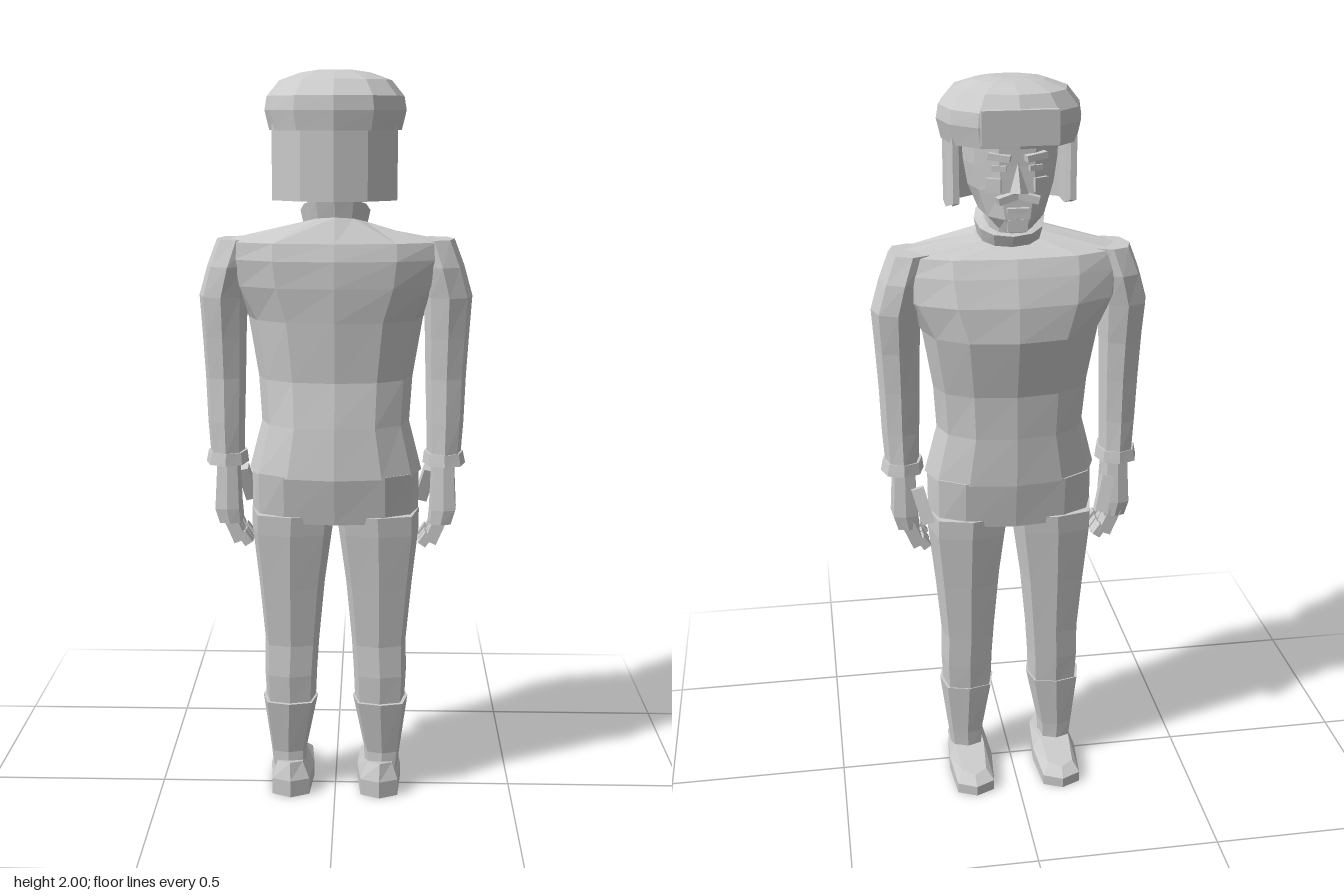
import * as THREE from 'three';

const cloth = new THREE.MeshStandardMaterial({ color: 0xcccccc, flatShading: true });
cloth.name = 'light grey';

// One horizontal cross-section: a rounded polygon, e below 1 is boxier
function ring(y, cx, hw, zf, zb, { n = 8, e = 0.7, tilt = 0 } = {}) {
  const bend = v => Math.sign(v) * Math.pow(Math.abs(v) < 1e-6 ? 0 : Math.abs(v), e);
  return Array.from({ length: n }, (_, i) => {
    const a = (i / n) * Math.PI * 2, u = bend(Math.cos(a)), w = bend(Math.sin(a));
    return [cx + u * hw, y + tilt * w, (zf + zb) / 2 + (w * (zb - zf)) / 2];
  });
}

// Closed faceted skin over cross-sections listed from bottom to top
function loft(rings) {
  const pos = [], n = rings[0].length;
  const mid = r => [0, 1, 2].map(k => r.reduce((s, p) => s + p[k], 0) / n);
  const lo = rings[0], hi = rings[rings.length - 1], cLo = mid(lo), cHi = mid(hi);
  for (let j = 0; j < n; j++) {
    const k = (j + 1) % n;
    for (let i = 0; i < rings.length - 1; i++) {
      const a = rings[i][j], b = rings[i][k], c = rings[i + 1][k], d = rings[i + 1][j];
      pos.push(...a, ...d, ...b, ...b, ...d, ...c);
    }
    pos.push(...cLo, ...lo[j], ...lo[k], ...cHi, ...hi[k], ...hi[j]);
  }
  const g = new THREE.BufferGeometry();
  g.setAttribute('position', new THREE.Float32BufferAttribute(pos, 3));
  g.computeVertexNormals();
  return g;
}

function add(parent, name, geometry, p = [0, 0, 0], r = [0, 0, 0]) {
  const m = new THREE.Mesh(geometry, cloth);
  m.name = name;
  m.position.set(...p);
  m.rotation.set(...r);
  parent.add(m);
  return m;
}
const box = (w, h, d) => new THREE.BoxGeometry(w, h, d);

function addHead(root) {
  const head = new THREE.Group();
  head.name = 'head';
  root.add(head);
  const face = (y, hw, zf, zb, tilt = 0) => ring(y, 0, hw, zf, zb, { n: 10, e: 0.85, tilt });
  add(head, 'face', loft([
    face(1.655, 0.05, -0.125, 0.05, 0.02), face(1.68, 0.085, -0.13, 0.08, 0.01),
    face(1.74, 0.11, -0.128, 0.1), face(1.8, 0.12, -0.125, 0.11), face(1.88, 0.125, -0.125, 0.12),
  ]));
  // Facial features
  add(head, 'nose', new THREE.ConeGeometry(0.024, 0.075, 4), [0, 1.775, -0.136], [0.25, 0, 0]);
  add(head, 'mouth', box(0.055, 0.012, 0.02), [0, 1.695, -0.128]);
  add(head, 'chin', box(0.05, 0.03, 0.03), [0, 1.655, -0.112]);
  for (const s of [-1, 1]) {
    add(head, 'moustacheHalf', box(0.055, 0.018, 0.025), [s * 0.026, 1.727, -0.132], [0, s * 0.2, -s * 0.25]);
    add(head, 'brow', box(0.055, 0.016, 0.025), [s * 0.045, 1.825, -0.122], [0, -s * 0.3, s * 0.12]);
    add(head, 'eye', box(0.035, 0.014, 0.012), [s * 0.045, 1.797, -0.119], [0, -s * 0.3, 0]);
    add(head, 'cheek', box(0.04, 0.035, 0.02), [s * 0.057, 1.755, -0.112], [0, -s * 0.45, 0]);
  }

  // Flap round the back and sides, open at the face
  const outer = [[0.155, -0.085], [0.162, 0.02], [0.16, 0.1], [0.085, 0.155], [0, 0.175]];
  const inner = outer.map(([x, z]) => [x * 0.9, z > 0 ? z * 0.9 : z]);
  const loop = pts => [...pts, ...pts.slice(0, -1).reverse().map(([x, z]) => [-x, z])];
  const outline = [...loop(outer), ...loop(inner).reverse()].map(p => new THREE.Vector2(...p));
  const flap = new THREE.ExtrudeGeometry(new THREE.Shape(outline), { depth: 0.19, bevelEnabled: false });
  flap.rotateX(Math.PI / 2).translate(0, 1.865, 0);
  const p = flap.attributes.position;
  for (let i = 0; i < p.count; i++) {
    if (p.getY(i) < 1.7 && p.getZ(i) < 0) p.setY(i, 1.705);
  }
  flap.computeVertexNormals();
  add(head, 'neckFlap', flap);

  // Padded hat
  const hat = (y, hw, zf, zb) => ring(y, 0, hw, zf, zb, { n: 12, e: 0.88 });
  add(head, 'hat', loft([
    hat(1.85, 0.172, -0.16, 0.188), hat(1.9, 0.184, -0.168, 0.194), hat(1.935, 0.178, -0.166, 0.19),
    hat(1.975, 0.145, -0.14, 0.15), hat(1.994, 0.09, -0.075, 0.085), hat(2, 0.05, -0.04, 0.05),
  ]));
  add(head, 'hatFrontFlap', box(0.19, 0.085, 0.02), [0, 1.902, -0.162]);
}

function addTorso(root) {
  const t = (y, hw, zf, zb, tilt = 0) => ring(y, 0, hw, zf, zb, { n: 12, e: 0.9, tilt });
  add(root, 'jacket', loft([
    t(0.945, 0.235, -0.127, 0.156), t(1.08, 0.2, -0.126, 0.138), t(1.2, 0.208, -0.13, 0.117),
    t(1.36, 0.235, -0.168, 0.128), t(1.45, 0.285, -0.16, 0.135), t(1.52, 0.3, -0.135, 0.135),
    t(1.565, 0.3, -0.112, 0.122), t(1.605, 0.09, -0.05, 0.078, 0.025),
  ]));
  add(root, 'neck', loft([t(1.56, 0.065, -0.045, 0.06), t(1.72, 0.065, -0.06, 0.06)]));
  add(root, 'collar', loft([
    t(1.6, 0.082, -0.045, 0.075, 0.028), t(1.645, 0.092, -0.06, 0.084, 0.035), t(1.65, 0.07, -0.045, 0.065, 0.03),
  ]));
  const h = (y, hw, zf, zb) => ring(y, 0, hw, zf, zb, { n: 12, e: 0.75 });
  add(root, 'hips', loft([h(0.815, 0.228, -0.105, 0.125), h(0.95, 0.228, -0.122, 0.148)]));
}

function addArm(root, s) {
  const arm = new THREE.Group();
  arm.name = s > 0 ? 'leftArm' : 'rightArm';
  root.add(arm);
  // Radii are given as inner and outer x
  const a = (y, xi, xo, zf, zb) => ring(y, (s * (xi + xo)) / 2, (xo - xi) / 2, zf, zb, { e: 0.85 });
  add(arm, 'sleeve', loft([
    a(0.985, 0.25, 0.342, -0.058, 0.062), a(1.08, 0.247, 0.348, -0.056, 0.062),
    a(1.2, 0.243, 0.352, -0.06, 0.06), a(1.31, 0.24, 0.358, -0.068, 0.068),
    a(1.42, 0.235, 0.365, -0.085, 0.08), a(1.5, 0.22, 0.342, -0.09, 0.085), a(1.57, 0.2, 0.315, -0.075, 0.07),
  ]));
  add(arm, 'cuff', loft([a(0.962, 0.238, 0.355, -0.064, 0.07), a(0.995, 0.242, 0.348, -0.06, 0.065)]));

  // Hand with curled fingers
  const palm = (y, xi, xo, zf, zb) => ring(y, (s * (xi + xo)) / 2, (xo - xi) / 2, zf, zb, { e: 0.4 });
  add(arm, 'palm', loft([
    palm(0.8, 0.255, 0.32, -0.055, 0.066), palm(0.84, 0.258, 0.332, -0.058, 0.068), palm(0.965, 0.262, 0.325, -0.05, 0.055),
  ]));
  for (let i = 0; i < 4; i++) {
    const y = i === 0 || i === 3 ? 0.785 : 0.777;
    add(arm, 'finger', box(0.034, 0.08, 0.025), [s * 0.276, y, -0.04 + i * 0.029], [0, 0, -s * 0.4]);
    add(arm, 'fingertip', box(0.024, 0.035, 0.023), [s * 0.247, y - 0.03, -0.04 + i * 0.029], [0, 0, -s * 0.6]);
  }
  add(arm, 'thumb', box(0.034, 0.1, 0.032), [s * 0.25, 0.882, -0.075], [0.3, 0, -s * 0.25]);
}

function addLeg(root, s) {
  const leg = new THREE.Group();
  leg.name = s > 0 ? 'leftLeg' : 'rightLeg';
  root.add(leg);
  const l = (y, xi, xo, zf, zb, o = {}) => ring(y, (s * (xi + xo)) / 2, (xo - xi) / 2, zf, zb, { e: 0.62, ...o });
  add(leg, 'trouserLeg', loft([
    l(0.27, 0.056, 0.196, -0.062, 0.082), l(0.36, 0.052, 0.2, -0.07, 0.09), l(0.45, 0.046, 0.198, -0.076, 0.088),
    l(0.62, 0.03, 0.213, -0.09, 0.106), l(0.78, 0.008, 0.23, -0.104, 0.124), l(0.835, 0.002, 0.23, -0.107, 0.128),
  ]));
  add(leg, 'bootShaft', loft([
    l(0.06, 0.085, 0.178, -0.05, 0.062), l(0.12, 0.082, 0.185, -0.052, 0.06), l(0.28, 0.05, 0.205, -0.066, 0.093),
  ]));
  add(leg, 'shoe', loft([
    l(0, 0.063, 0.188, -0.194, 0.1, { e: 0.5 }), l(0.04, 0.063, 0.188, -0.195, 0.102, { e: 0.5, tilt: 0.01 }),
    l(0.075, 0.085, 0.17, -0.165, 0.085, { e: 0.55, tilt: 0.024 }),
  ]));
}

export function createModel() {
  const root = new THREE.Group();
  root.name = 'standingFigure';
  addHead(root);
  addTorso(root);
  for (const s of [-1, 1]) {
    addArm(root, s);
    addLeg(root, s);
  }
  return root;
}
